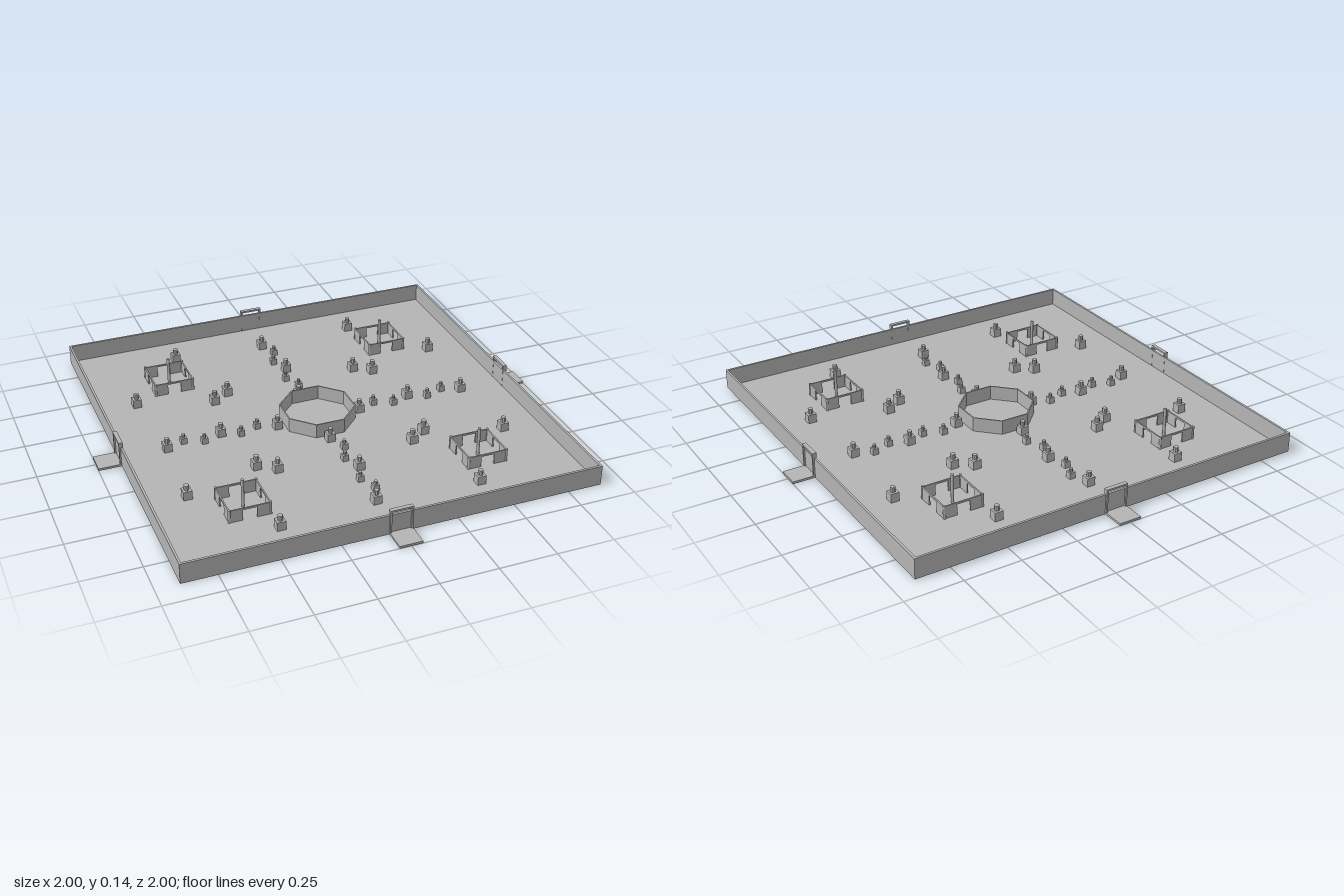
import * as THREE from 'three';

const stone = new THREE.MeshStandardMaterial({ color: 0xb4b4b4 });
stone.name = 'stoneGrey';

const FLOOR = 0.01;

function add(parent, name, geometry, x, y, z) {
  const mesh = new THREE.Mesh(geometry, stone);
  mesh.name = name;
  mesh.position.set(x, y, z);
  parent.add(mesh);
  return mesh;
}

// Box standing on height y
function box(parent, name, w, h, d, x, y, z) {
  return add(parent, name, new THREE.BoxGeometry(w, h, d), x, y + h / 2, z);
}

// Block house with a small turret on its roof
function house(parent, x, z, size) {
  const g = new THREE.Group();
  g.name = 'house';
  const h = size * 1.05;
  box(g, 'houseBody', size, h, size, 0, 0, 0);
  const turret = new THREE.CylinderGeometry(size * 0.3, size * 0.3, size * 0.6, 8).toNonIndexed();
  turret.computeVertexNormals();
  add(g, 'houseTurret', turret, 0, h + size * 0.3, 0);
  g.position.set(x, FLOOR, z);
  parent.add(g);
}

// Square court: thin walls with a doorway in each side, corner posts, central mast
function court(parent, x, z) {
  const g = new THREE.Group();
  g.name = 'court';
  const r = 0.09, t = 0.006, h = 0.056;
  for (let i = 0; i < 4; i++) {
    const side = new THREE.Group();
    side.name = 'courtSide';
    for (const s of [-1, 1]) box(side, 'courtWall', 0.06, h, t, s * 0.06, 0, r - t / 2);
    box(side, 'courtLintel', 0.06, 0.008, t, 0, h - 0.008, r - t / 2);
    add(side, 'courtPost', new THREE.CylinderGeometry(0.006, 0.006, h + 0.003, 8), r - 0.003, (h + 0.003) / 2, r - 0.003);
    side.rotation.y = i * Math.PI / 2;
    g.add(side);
  }
  add(g, 'courtMast', new THREE.CylinderGeometry(0.007, 0.007, 0.13, 8), 0, 0.065, 0);
  g.position.set(x, FLOOR, z);
  parent.add(g);
}

// Octagonal wall made by extruding a ring
function octagon(radius) {
  return Array.from({ length: 8 }, (_, i) => {
    const a = (i + 0.5) * Math.PI / 4;
    return new THREE.Vector2(Math.cos(a) * radius, Math.sin(a) * radius);
  });
}

export function createModel() {
  const model = new THREE.Group();
  model.name = 'walledTown';

  box(model, 'groundPlate', 1.8, FLOOR, 1.8, 0, 0, 0);

  // Outer wall, gate and road on each of the four sides
  for (let i = 0; i < 4; i++) {
    const side = new THREE.Group();
    side.name = 'townSide';
    box(side, 'outerWall', 1.8, 0.08, 0.01, 0, FLOOR, 0.895);
    box(side, 'road', 0.1, FLOOR, 0.1, 0, 0, 0.95);
    for (const s of [-1, 1]) box(side, 'gatePost', 0.008, 0.1, 0.018, s * 0.046, FLOOR, 0.898);
    box(side, 'gateLintel', 0.1, 0.008, 0.018, 0, 0.106, 0.898);
    side.rotation.y = i * Math.PI / 2;
    model.add(side);
  }

  // Central octagonal enclosure
  const ring = new THREE.Shape(octagon(0.169));
  ring.holes.push(new THREE.Path(octagon(0.163)));
  const enclosure = add(model, 'centralEnclosure',
    new THREE.ExtrudeGeometry(ring, { depth: 0.065, bevelEnabled: false }), 0, FLOOR, 0);
  enclosure.rotation.x = -Math.PI / 2;

  // Houses staggered along the four main streets
  const steps = [0.193, 0.276, 0.36, 0.442, 0.526, 0.61, 0.692];
  steps.forEach((d, i) => {
    const size = i % 3 === 0 ? 0.037 : 0.027;
    const off = i % 2 === 0 ? 0.016 : -0.016;
    for (const s of [-1, 1]) {
      house(model, -off, s * d, size);
      house(model, s * d, off, size);
    }
  });

  // Courts and loose houses mirrored into each quarter
  const loose = [[0.437, 0.718], [0.717, 0.385], [0.384, 0.283], [0.308, 0.335]];
  for (const sx of [-1, 1]) {
    for (const sz of [-1, 1]) {
      court(model, sx * 0.525, sz * 0.525);
      for (const [x, z] of loose) house(model, sx * x, sz * z, 0.038);
    }
  }

  return model;
}
